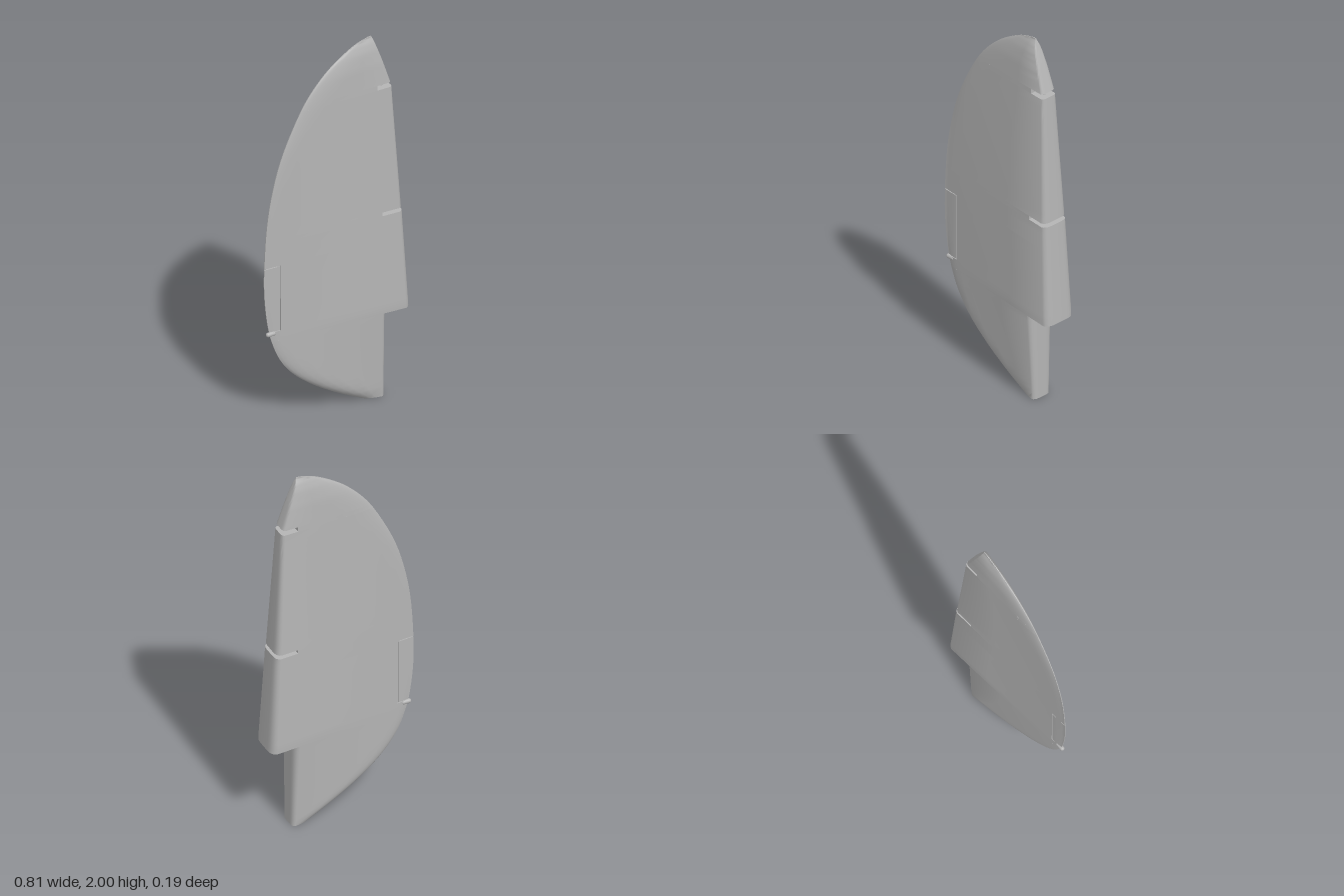
import * as THREE from 'three';
import { toCreasedNormals } from 'three/addons/utils/BufferGeometryUtils.js';

// piecewise-linear lookup in a list of [y, value]
function lookup(table, y) {
  for (let i = 1; i < table.length; i++) {
    const [y0, v0] = table[i - 1], [y1, v1] = table[i];
    if (y <= y1) return v0 + (v1 - v0) * Math.max(0, (y - y0) / (y1 - y0));
  }
  return table[table.length - 1][1];
}

// trailing edge curve (x, y)
const trailing = new THREE.CatmullRomCurve3([
  [0.16, 0], [0.01, 0.08], [-0.12, 0.163], [-0.23, 0.255], [-0.31, 0.36], [-0.36, 0.48],
  [-0.382, 0.57], [-0.402, 0.75], [-0.4, 0.94], [-0.383, 1.15], [-0.355, 1.3], [-0.31, 1.455],
  [-0.24, 1.61], [-0.15, 1.76], [-0.04, 1.875], [0.06, 1.943], [0.14, 1.982], [0.21, 2],
].map(([x, y]) => new THREE.Vector3(x, y, 0)), false, 'centripetal')
  .getPoints(250).map(p => [p.y, p.x]);

// wedge slope (half thickness per unit of chord) and width of the rounded edge
const slope = [[0, 0.083], [0.475, 0.118], [0.48, 0.121], [1.02, 0.102], [1.72, 0.064],
  [1.85, 0.054], [1.93, 0.04], [1.97, 0.025], [2, 0.003]];
const rounding = [[0, 0.11], [0.2, 0.08], [0.45, 0.04], [1, 0.02], [1.5, 0.06], [2, 0.2]];

// leading edges of the stacked blade sections
const lowerLead = [[0, 0.275], [0.475, 0.27]];
const middleLead = [[0.475, 0.404], [1.015, 0.372]];
const upperLead = [[1.035, 0.368], [1.71, 0.326]];
const tipLead = [[1.735, 0.32], [1.87, 0.276], [2, 0.23]];

const APEX = -0.412;
const chord = [0, 0.01, 0.03, 0.07, 0.14, 0.25, 0.4, 0.65, 1];

// horizontal section: a wedge with a rounded or square front
function section(y, xl, xr, blunt, squareFront) {
  const m = lookup(slope, y), r = lookup(rounding, y);
  const xm = xr - (squareFront ? 0.001 : 0.32 * m * (xr - APEX));
  const side = chord.map(f => {
    const x = xl + (xm - xl) * f;
    const s = Math.min(1, (x - xl) / r);
    const round = blunt ? 1 : Math.sqrt(1 - (1 - s) ** 2);
    return [x, Math.max(0.002, m * (x - APEX) * round)];
  });
  const t = side[side.length - 1][1], n = xr - xm;
  const nose = squareFront ? [[1, 1], [1, 0.9], [1, 0.8], [1, 0.6]]
    : [[0.45, 0.94], [0.8, 0.8], [0.95, 0.62], [1, 0.4]];
  nose.forEach(([a, b]) => side.push([xm + n * a, t * b]));
  const loop = side.map(([x, z]) => new THREE.Vector3(x, y, z));
  side.reverse().forEach(([x, z]) => loop.push(new THREE.Vector3(x, y, -z)));
  return loop;
}

// skin a stack of equal-length loops and close both ends
function loft(loops) {
  const n = loops[0].length, pos = [], index = [];
  loops.forEach(l => l.forEach(p => pos.push(p.x, p.y, p.z)));
  for (let k = 0; k < loops.length - 1; k++) {
    for (let i = 0; i < n; i++) {
      const a = k * n + i, b = k * n + (i + 1) % n;
      index.push(a, b, b + n, a, b + n, a + n);
    }
  }
  const top = (loops.length - 1) * n;
  for (let i = 1; i < n - 1; i++) {
    index.push(0, i + 1, i, top, top + i, top + i + 1);
  }
  const g = new THREE.BufferGeometry();
  g.setAttribute('position', new THREE.Float32BufferAttribute(pos, 3));
  g.setIndex(index);
  return toCreasedNormals(g, 0.6);
}

export function createModel() {
  const model = new THREE.Group();
  model.name = 'rudder';
  const grey = new THREE.MeshStandardMaterial({ color: 0xb4b4b4 });
  grey.name = 'light grey';
  const add = (name, geometry, x = 0, y = 0, z = 0) => {
    const mesh = new THREE.Mesh(geometry, grey);
    mesh.name = name;
    mesh.position.set(x, y, z);
    model.add(mesh);
    return mesh;
  };

  // blade: bands of sections, with two hinge slots and a cutout for the tab
  const slot = x => [[0, x], [2, x]];
  const bands = [
    [0, 0.475, 16, lowerLead], [0.475, 0.53, 2, middleLead],
    [0.53, 0.893, 4, middleLead, true], [0.893, 1.015, 3, middleLead],
    [1.015, 1.035, 1, slot(0.25), false, true], [1.035, 1.71, 14, upperLead],
    [1.71, 1.735, 1, slot(0.238), false, true], [1.735, 2, 20, tipLead],
  ];
  const loops = [];
  for (const [y0, y1, n, lead, tab, square] of bands) {
    for (let i = 0; i <= n; i++) {
      const f = i / n;
      const y = y0 + (y1 - y0) * (y1 === 2 ? 1 - (1 - f) ** 2 : f);
      const xl = tab ? -0.312 : lookup(trailing, y);
      loops.push(section(y, xl, lookup(lead, y), tab, square));
    }
  }
  add('blade', loft(loops));

  // trim tab with a narrow groove around it
  const tabLoops = [];
  for (let i = 0; i <= 8; i++) {
    const y = 0.534 + 0.355 * i / 8;
    tabLoops.push(section(y, lookup(trailing, y), -0.317, false, true));
  }
  add('trimTab', loft(tabLoops));
  add('tabHingeStrip', new THREE.BoxGeometry(0.03, 0.362, 0.012), -0.315, 0.712, 0);

  // small control horn under the tab
  const horn = add('controlHorn', new THREE.CapsuleGeometry(0.012, 0.03, 6, 16), -0.363, 0.52, 0);
  horn.rotation.z = Math.PI / 2;

  // hinge pins across the slots
  for (const [x, y] of [[0.315, 1.025], [0.282, 1.7225]]) {
    add('hingePin', new THREE.CylinderGeometry(0.011, 0.011, 0.04, 16), x, y, 0);
  }
  return model;
}
